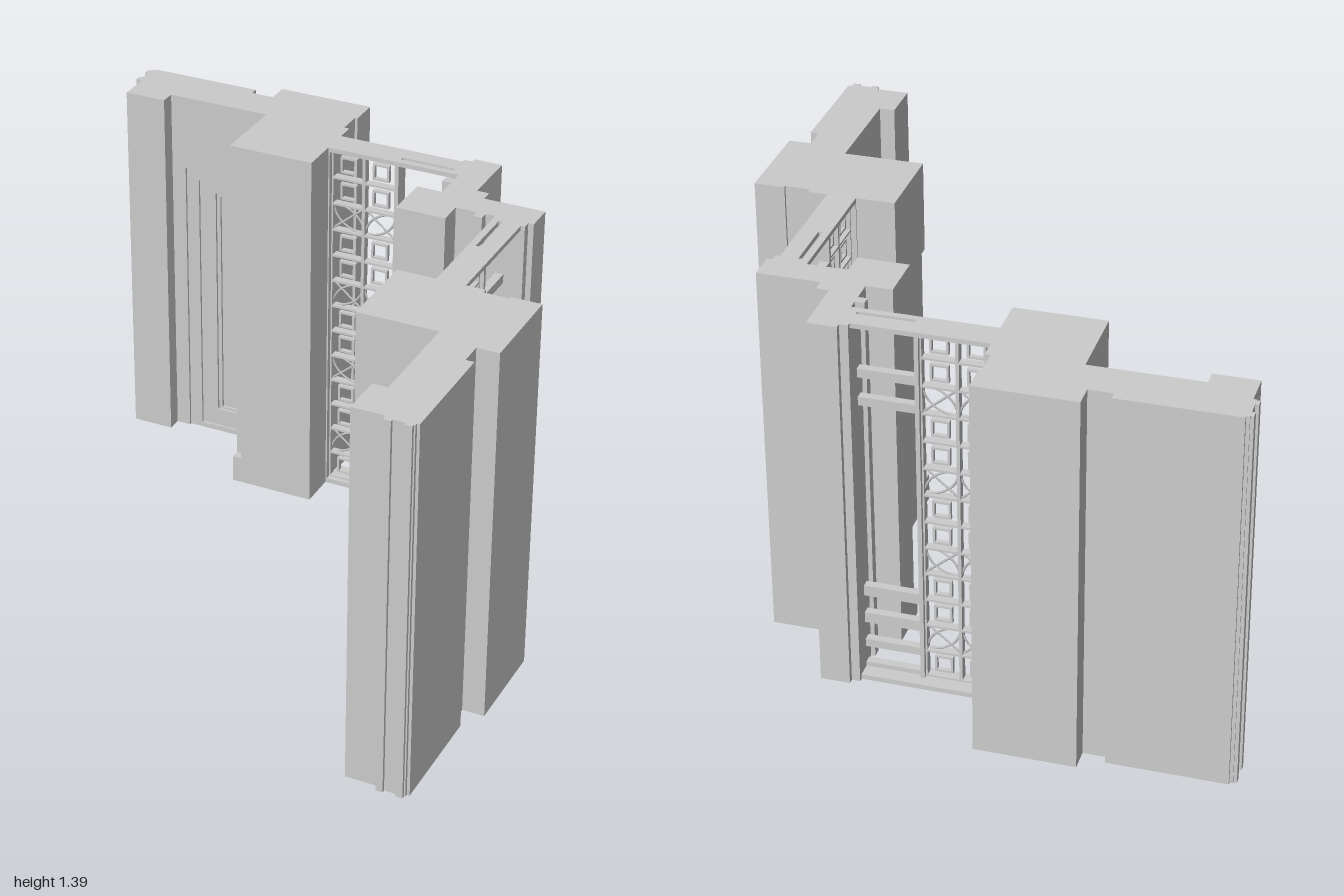
import * as THREE from 'three';
import { mergeGeometries } from 'three/addons/utils/BufferGeometryUtils.js';

const H = 1.395;
const material = new THREE.MeshStandardMaterial({ color: 0xcccccc });

// Box from its extents in plan (x, z) and height (y)
function slab(x0, x1, z0, z1, y0 = 0, y1 = H) {
  return new THREE.BoxGeometry(x1 - x0, y1 - y0, z1 - z0)
    .translate((x0 + x1) / 2, (y0 + y1) / 2, (z0 + z1) / 2);
}

// Reflects a geometry across the plan diagonal: (x, z) -> (-z, -x)
function reflect(geometry) {
  const g = geometry.clone();
  g.applyMatrix4(new THREE.Matrix4().set(0, 0, -1, 0, 0, 1, 0, 0, -1, 0, 0, 0, 0, 0, 0, 1));
  const index = g.index.array;
  for (let i = 0; i < index.length; i += 3) {
    [index[i + 1], index[i + 2]] = [index[i + 2], index[i + 1]];
  }
  return g;
}

// Pier whose inner front edge is cut away between two heights
function notchedPier(x0, x1, z0, z1, cut = 0.035) {
  return [
    slab(x0 + cut, x1, z0, z1),
    slab(x0, x0 + cut, z0, z1 - cut, 0.105, 1.055),
    slab(x0, x0 + cut, z0, z1, 0, 0.105),
    slab(x0, x0 + cut, z0, z1, 1.055, H),
  ];
}

// Thin curved lattice strip
function strip(ax, ay, cx, cy, bx, by, z) {
  const curve = new THREE.QuadraticBezierCurve3(
    new THREE.Vector3(ax, ay, z), new THREE.Vector3(cx, cy, z), new THREE.Vector3(bx, by, z));
  return new THREE.TubeGeometry(curve, 8, 0.0045, 4);
}

// Wall with a stepped doorway recess on its inner face
function doorWall() {
  const parts = [
    slab(-0.976, -0.56, -0.95, -0.811),
    slab(-0.56, -0.13, -0.92, -0.811),
  ];
  const steps = [[-0.765, 1.11, 0], [-0.715, 1.065, 0.02], [-0.65, 1.02, 0.09], [-0.635, 1.005, 0.1]];
  steps.forEach(([x, top, bottom], i) => {
    const z1 = -0.775 - i * 0.009, z0 = z1 - 0.009;
    parts.push(slab(-0.976, x, z0, z1), slab(x, -0.13, z0, z1, top, H));
    if (bottom) parts.push(slab(x, -0.13, z0, z1, 0, bottom));
  });
  return parts;
}

// Two columns of framed cells: three-row rhythm of petals and squares
function lattice() {
  const parts = [], rows = 13, x0 = -0.105, y0 = 0.02;
  const w = 0.125, h = (1.375 - y0) / rows, z0 = -0.675, z1 = -0.645, zc = -0.66;
  for (let c = 0; c <= 2; c++) {
    parts.push(slab(x0 + c * w - 0.006, x0 + c * w + 0.006, z0, z1, 0.01, 1.385));
  }
  for (let r = 0; r <= rows; r++) {
    const y = y0 + r * h;
    parts.push(slab(x0, x0 + 2 * w, z0, z1, y - 0.004, y + 0.004));
  }
  for (let r = 0; r < rows; r++) {
    for (let c = 0; c < 2; c++) {
      const cx = x0 + (c + 0.5) * w, cy = y0 + (r + 0.5) * h;
      if (r % 3 === 1) {
        // Petal between opposite corners, crossed by the other diagonal
        const s = (r + c) % 2 ? 1 : -1, a = s * w / 2, b = h / 2;
        parts.push(
          strip(cx - a, cy - b, cx - a * 0.8, cy + b * 0.8, cx + a, cy + b, zc),
          strip(cx - a, cy - b, cx + a * 0.8, cy - b * 0.8, cx + a, cy + b, zc),
          strip(cx - a, cy + b, cx, cy, cx + a, cy - b, zc));
      } else {
        const o = 0.032, t = 0.008;
        for (const s of [-1, 1]) {
          const e = s * (o - t / 2);
          parts.push(
            slab(cx - o, cx + o, z0 + 0.007, z1 - 0.007, cy + e - t / 2, cy + e + t / 2),
            slab(cx + e - t / 2, cx + e + t / 2, z0 + 0.007, z1 - 0.007, cy - o + t, cy + o - t));
        }
      }
    }
  }
  return parts;
}

// Window surround with split head and sill rails
function windowFrame() {
  const parts = [
    slab(-0.14, -0.105, -0.73, -0.625),
    slab(0.145, 0.16, -0.69, -0.63, 0.01, 1.385),
    slab(0.36, 0.4, -0.745, -0.625),
  ];
  for (const [y0, y1] of [[0, 0.018], [1.378, H]]) {
    parts.push(
      slab(-0.11, 0.37, -0.73, -0.665, y0, y1),
      slab(-0.11, 0.37, -0.65, -0.625, y0, y1),
      slab(-0.11, 0.16, -0.665, -0.65, y0, y1));
  }
  return parts;
}

const crossBars = () => [[1.165, 1.198], [1.06, 1.092], [0.31, 0.35], [0.2, 0.24], [0.1, 0.13], [0.018, 0.035]]
  .map(([y0, y1]) => slab(0.155, 0.365, -0.675, -0.645, y0, y1));

export function createModel() {
  const model = new THREE.Group();
  model.name = 'cornerWall';

  const add = (name, geometry, parent) => {
    const mesh = new THREE.Mesh(geometry, material);
    mesh.name = name;
    parent.add(mesh);
  };

  // One wing; the other is its reflection
  const wingParts = {
    doorWall: doorWall(),
    endPost: [slab(-0.976, -0.82, -0.78, -0.72)],
    endTongue: [
      slab(-0.988, -0.976, -0.94, -0.835),
      slab(-1, -0.988, -0.935, -0.91),
      slab(-1, -0.988, -0.865, -0.84),
    ],
    outerPier: [
      slab(-0.475, -0.12, -1, -0.89),
      slab(-0.475, -0.14, -0.89, -0.776),
    ],
    innerPier: notchedPier(-0.43, -0.11, -0.8, -0.485),
    windowFrame: windowFrame(),
    lattice: lattice(),
    crossBars: crossBars(),
    cornerArm: [slab(0.39, 0.495, -0.765, -0.39)],
    cornerBead: [slab(0.357, 0.392, -0.59, -0.557)],
  };
  const leftWing = new THREE.Group(), rightWing = new THREE.Group();
  rightWing.name = 'rightWing';
  leftWing.name = 'leftWing';
  for (const [name, parts] of Object.entries(wingParts)) {
    const geometry = mergeGeometries(parts);
    add(name, geometry, rightWing);
    add(name, reflect(geometry), leftWing);
  }
  model.add(rightWing, leftWing);

  // Corner where the wings meet
  add('cornerStep', slab(0.48, 0.54, -0.54, -0.48), model);
  add('cornerPillar', mergeGeometries(notchedPier(0.297, 0.48, -0.48, -0.3)), model);
  return model;
}
